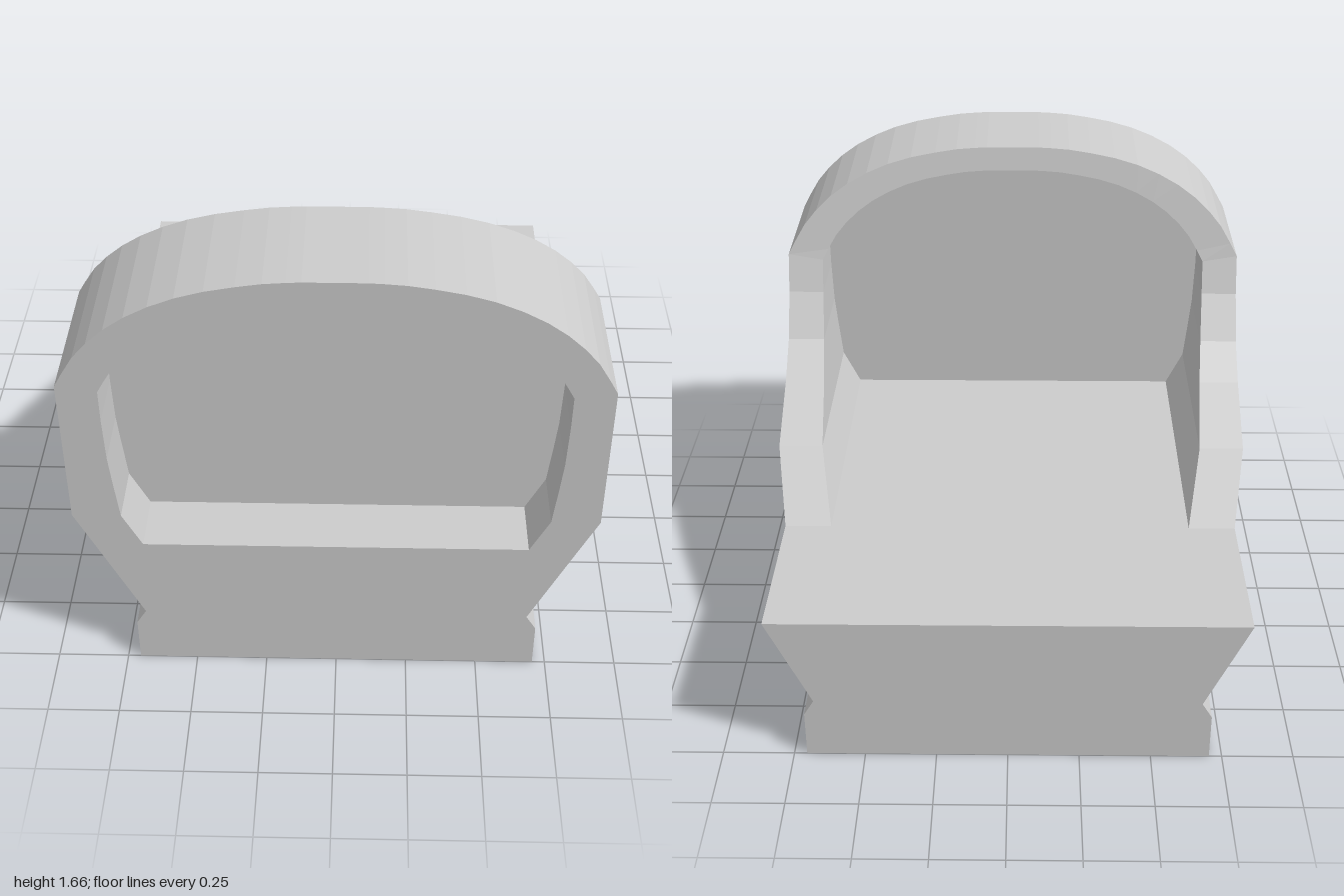
import * as THREE from 'three';

const FLOOR = 0.563, FRONT = 1;
const material = new THREE.MeshStandardMaterial({ color: 0xcccccc, flatShading: true, side: THREE.DoubleSide });

// Sloping rear edge of the hood: [height, z]
const REAR = [[FLOOR, -0.41], [0.695, -0.06], [0.84, 0.2], [0.95, 0.34], [1.11, 0.44], [1.25, 0.49], [1.664, 0.58]];

function rearZ(y) {
  let i = 1;
  while (i < REAR.length - 1 && y > REAR[i][0]) i++;
  const [y0, z0] = REAR[i - 1], [y1, z1] = REAR[i];
  return z0 + (z1 - z0) * (y - y0) / (y1 - y0);
}

const vec = (list) => list.map(([x, y]) => new THREE.Vector2(x, y));

// Right half going up, then its mirror image going down
const mirror = (half) => [...half, ...half.map((p) => new THREE.Vector2(-p.x, p.y)).reverse()];

// Roof arc, from the shoulder to the flat crown
const arc = new THREE.SplineCurve(vec([
  [0.885, 1.25], [0.8, 1.39], [0.66, 1.515], [0.47, 1.605], [0.25, 1.652], [0.1, 1.664],
])).getPoints(12);

const outer = mirror([
  ...vec([[0.823, FLOOR], [0.885, 0.695], [0.885, 0.84], [0.885, 0.95], [0.885, 1.11]]),
  ...arc,
]);
const inner = mirror([
  ...vec([[0.655, FLOOR], [0.72, 0.695], [0.735, 0.84], [0.745, 0.95], [0.75, 1.11]]),
  ...arc.map((p) => new THREE.Vector2(p.x * 0.848, 1.23 + (p.y - 1.25) * 0.838)),
]);

function extrude(points, z0, z1) {
  const geometry = new THREE.ExtrudeGeometry(new THREE.Shape(points), { depth: z1 - z0, bevelEnabled: false });
  return geometry.translate(0, 0, z0);
}

// Arched shell: four rails (inner/outer, front/rear) joined by quads
function hoodGeometry() {
  const rails = [
    inner.map((p) => [p.x, p.y, FRONT]),
    outer.map((p) => [p.x, p.y, FRONT]),
    outer.map((p) => [p.x, p.y, rearZ(p.y)]),
    inner.map((p) => [p.x, p.y, rearZ(p.y)]),
  ];
  const positions = [];
  for (let i = 0; i < outer.length - 1; i++) {
    for (let k = 0; k < 4; k++) {
      const r = rails[k], s = rails[(k + 1) % 4];
      positions.push(...r[i], ...s[i], ...s[i + 1], ...r[i], ...s[i + 1], ...r[i + 1]);
    }
  }
  const geometry = new THREE.BufferGeometry();
  geometry.setAttribute('position', new THREE.Float32BufferAttribute(positions, 3));
  geometry.computeVertexNormals();
  return geometry;
}

export function createModel() {
  const group = new THREE.Group();
  const add = (name, geometry) => {
    const mesh = new THREE.Mesh(geometry, material);
    mesh.name = name;
    group.add(mesh);
  };

  // Grooved base running the full length
  const baseProfile = mirror(vec([[0.705, 0], [0.705, 0.175], [0.67, 0.233], [0.823, FLOOR]]));
  add('base', extrude(baseProfile, -1, 1));

  // Arched hood with swept-down sides
  add('hood', hoodGeometry());

  // Thin panel closing the hood opening, set back from the front
  add('windowPanel', extrude(inner, 0.72, 0.79));

  return group;
}
